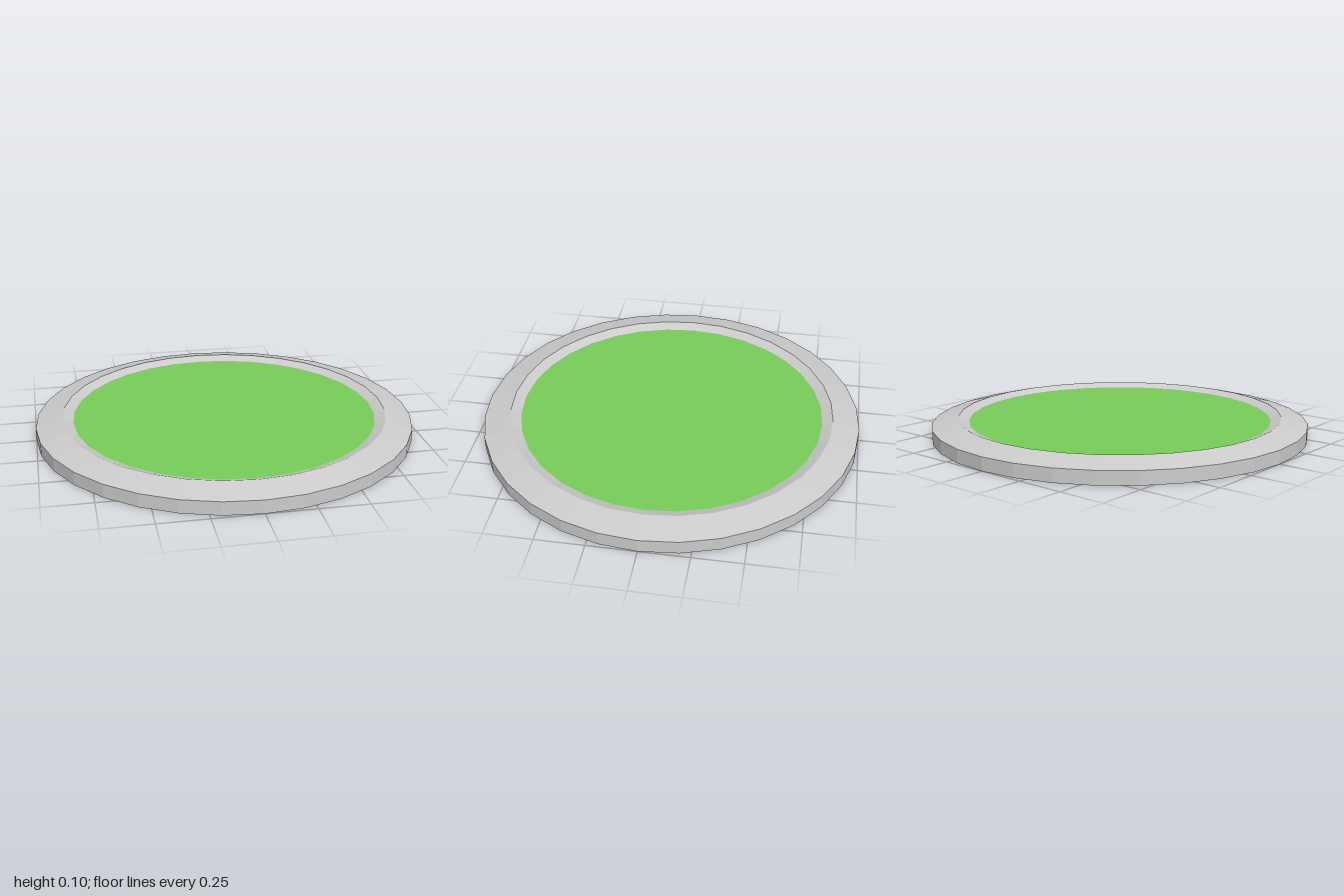
import * as THREE from 'three';

const SIDES = 32;

export function createModel() {
  const group = new THREE.Group();
  group.name = 'roundTray';

  // Base, outer wall, sloping rim and inner bevel in one turned profile
  const profile = [[0, 0], [1, 0], [1, 0.07], [0.86, 0.105], [0.805, 0.084]]
    .map(([r, y]) => new THREE.Vector2(r, y));
  const rim = new THREE.Mesh(
    new THREE.LatheGeometry(profile, SIDES),
    new THREE.MeshStandardMaterial({ color: 0xcccccc, flatShading: true })
  );
  rim.name = 'rim';
  group.add(rim);

  // Green inset surface filling the rim
  const inset = new THREE.Mesh(
    new THREE.CircleGeometry(0.805, SIDES).rotateX(-Math.PI / 2),
    new THREE.MeshStandardMaterial({ color: 0x78cc58 })
  );
  inset.name = 'insetSurface';
  inset.position.y = 0.084;
  group.add(inset);

  return group;
}
